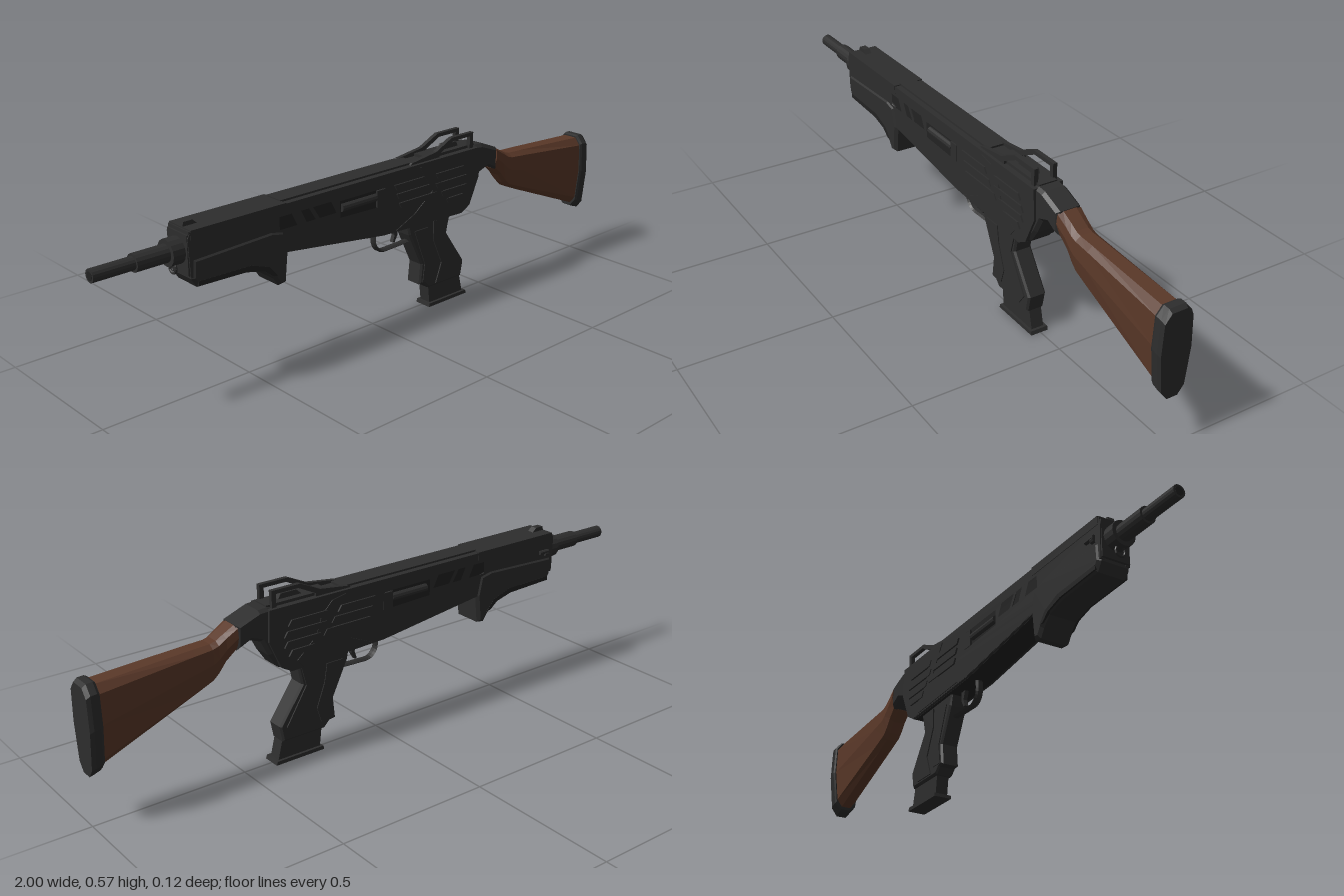
import * as THREE from 'three';

const metal = new THREE.MeshStandardMaterial({ color: 0x2d2d2d, flatShading: true });
metal.name = 'charcoal metal';
const dark = new THREE.MeshStandardMaterial({ color: 0x222222, flatShading: true });
dark.name = 'dark recess metal';
const wood = new THREE.MeshStandardMaterial({ color: 0x5a3828, flatShading: true });
wood.name = 'brown wood';

const vec = (pts) => pts.map(([x, y]) => new THREE.Vector2(x, y));

export function createModel() {
  const group = new THREE.Group();
  const add = (name, geometry, mat = metal, x = 0, y = 0, z = 0) => {
    const mesh = new THREE.Mesh(geometry, mat);
    mesh.name = name;
    mesh.position.set(x, y, z);
    group.add(mesh);
    return mesh;
  };

  // side outline extruded between z0 and z1, with optional chamfer and holes
  const slab = (name, pts, z0, z1, mat = metal, bevel = 0, holes = []) => {
    const shape = new THREE.Shape(vec(pts));
    shape.holes = holes.map((h) => new THREE.Path(vec(h)));
    const geometry = new THREE.ExtrudeGeometry(shape, {
      depth: z1 - z0 - 2 * bevel, bevelEnabled: bevel > 0, bevelThickness: bevel,
      bevelSize: bevel, bevelOffset: -bevel, bevelSegments: 1, curveSegments: 6,
    });
    return add(name, geometry, mat, 0, 0, z0 + bevel);
  };
  const centred = (name, pts, half, mat, bevel) => slab(name, pts, -half, half, mat, bevel);
  const bothSides = (name, pts, z0, z1, mat, bevel, holes) => {
    slab(name + 'Left', pts, z0, z1, mat, bevel, holes);
    slab(name + 'Right', pts, -z1, -z0, mat, bevel, holes);
  };
  const box = (name, x0, x1, y0, y1, z0, z1, mat) =>
    add(name, new THREE.BoxGeometry(x1 - x0, y1 - y0, z1 - z0), mat,
      (x0 + x1) / 2, (y0 + y1) / 2, (z0 + z1) / 2);
  const tube = (name, x0, x1, r, y, mat, z = 0, sides = 16) => {
    const g = new THREE.CylinderGeometry(r, r, x1 - x0, sides).rotateZ(Math.PI / 2);
    return add(name, g, mat, (x0 + x1) / 2, y, z);
  };

  // loft of faceted rings along x; station = [x, top, bottom, half width, lean]
  const half = [[0.5, 1], [0.92, 0.9], [1, 0.53], [0.76, 0.1], [0.36, 0]];
  const ring = [...half, ...half.map(([z, y]) => [-z, y]).reverse()];
  const loft = (name, stations, mat) => {
    const rings = stations.map(([x, top, bottom, w, lean = 0]) =>
      ring.map(([z, t]) => [x + lean * t, bottom + (top - bottom) * t, z * w]));
    const pos = [];
    const tri = (a, b, c) => pos.push(...a, ...b, ...c);
    const n = ring.length;
    for (let i = 0; i < rings.length - 1; i++) {
      for (let j = 0; j < n; j++) {
        const k = (j + 1) % n;
        tri(rings[i][j], rings[i][k], rings[i + 1][k]);
        tri(rings[i][j], rings[i + 1][k], rings[i + 1][j]);
      }
    }
    const first = rings[0], last = rings[rings.length - 1];
    for (let j = 1; j < n - 1; j++) {
      tri(first[0], first[j + 1], first[j]);
      tri(last[0], last[j], last[j + 1]);
    }
    const g = new THREE.BufferGeometry();
    g.setAttribute('position', new THREE.Float32BufferAttribute(pos, 3));
    g.computeVertexNormals();
    return add(name, g, mat);
  };

  // barrel
  tube('muzzle', -1, -0.86, 0.02, 0.457);
  tube('muzzleBore', -1.001, -0.999, 0.013, 0.457, dark);
  tube('barrelSleeve', -0.87, -0.76, 0.027, 0.457);
  tube('barrelCollar', -0.765, -0.71, 0.04, 0.457);
  const loop = add('slingLoop', new THREE.TorusGeometry(0.016, 0.004, 6, 12), metal, -0.745, 0.408, 0);
  loop.rotation.y = Math.PI / 2;

  // receiver: narrow core inside pierced side shells
  const receiver = [[-0.725, 0.5], [-0.715, 0.52], [0.42, 0.52], [0.425, 0.42],
    [0.385, 0.33], [0.35, 0.31], [0.0, 0.322], [-0.39, 0.372], [-0.72, 0.385]];
  const windows = [
    [[-0.41, 0.485], [-0.365, 0.485], [-0.345, 0.445], [-0.41, 0.445]],
    [[-0.33, 0.485], [-0.3, 0.485], [-0.275, 0.445], [-0.31, 0.445]],
    [[-0.285, 0.485], [-0.215, 0.485], [-0.195, 0.445], [-0.26, 0.445]],
    [[-0.18, 0.478], [0.0, 0.478], [0.0, 0.42], [-0.18, 0.425]],
  ];
  centred('receiverCore', receiver.map(([x, y]) => [x * 0.995, y - 0.002]), 0.041, dark, 0);
  bothSides('receiverShell', receiver, 0.037, 0.05, metal, 0, windows);
  box('topCover', -0.72, 0.42, 0.51, 0.52, -0.049, 0.049);
  box('topRib', -0.39, 0.15, 0.518, 0.526, -0.03, 0.03);
  centred('underside', [[-0.39, 0.4], [-0.39, 0.371], [0, 0.321], [0.35, 0.309], [0.35, 0.34]], 0.049);
  box('frontBlock', -0.726, -0.7, 0.39, 0.51, -0.047, 0.047);
  for (const z of [-0.041, 0.041]) tube('bolt', -0.17, -0.03, 0.013, 0.452, metal, z, 10);
  bothSides('portLip', [[-0.03, 0.475], [0.005, 0.475], [0.005, 0.42], [-0.03, 0.42]], 0.045, 0.052);

  // rear side panel and cooling slats
  bothSides('sidePanel', [[0.15, 0.51], [0.2, 0.5], [0.24, 0.46], [0.26, 0.4], [0.33, 0.34],
    [0.31, 0.315], [0.05, 0.325], [0.13, 0.36], [0.21, 0.42]], 0.045, 0.0525);
  [[0.04, 0.18, 0.468], [0.05, 0.205, 0.437], [0.06, 0.235, 0.405],
    [0.22, 0.36, 0.465], [0.22, 0.375, 0.432], [0.245, 0.375, 0.4], [0.27, 0.36, 0.37],
  ].forEach(([x0, x1, y]) => bothSides('slat',
    [[x0, y + 0.009], [x1 - 0.012, y + 0.009], [x1, y - 0.009], [x0 + 0.01, y - 0.009]], 0.045, 0.0555));

  // fore-end with hooked hand stop
  centred('foreEnd', [[-0.715, 0.44], [-0.44, 0.45], [-0.395, 0.44], [-0.38, 0.372], [-0.39, 0.278],
    [-0.418, 0.274], [-0.435, 0.3], [-0.465, 0.33], [-0.53, 0.347], [-0.7, 0.352], [-0.718, 0.38]],
  0.055, metal, 0.01);
  bothSides('foreEndGrip', [[-0.7, 0.372], [-0.52, 0.368], [-0.455, 0.345], [-0.425, 0.31],
    [-0.44, 0.312], [-0.47, 0.336], [-0.53, 0.352], [-0.7, 0.358]], 0.046, 0.0555, dark);
  box('upperForeEnd', -0.715, -0.385, 0.495, 0.523, -0.0515, 0.0515);

  // sights
  centred('frontSight', [[-0.715, 0.518], [-0.71, 0.536], [-0.68, 0.536], [-0.66, 0.518]], 0.011);
  centred('rearSight', [[0.27, 0.518], [0.3, 0.545], [0.355, 0.545], [0.37, 0.518]], 0.01);
  box('sightBase', 0.2, 0.42, 0.518, 0.529, -0.03, 0.03);
  bothSides('sightGuard', [[0.12, 0.518], [0.13, 0.526], [0.235, 0.54], [0.305, 0.573], [0.405, 0.573],
    [0.405, 0.518], [0.39, 0.518], [0.39, 0.561], [0.312, 0.561], [0.25, 0.53], [0.25, 0.518]], 0.025, 0.039);

  // small charging lever on the right side
  const lever = tube('chargingLever', -0.7, -0.66, 0.007, 0.462, metal, -0.053, 8);
  lever.rotation.x = 0.4;
  tube('leverPin', -0.7, -0.685, 0.01, 0.455, metal, -0.05, 8);

  // trigger and guard
  const guard = new THREE.CatmullRomCurve3([[0.0, 0.325], [0.002, 0.275], [0.025, 0.251],
    [0.075, 0.249], [0.15, 0.252]].map(([x, y]) => new THREE.Vector3(x, y, 0)));
  add('triggerGuard', new THREE.TubeGeometry(guard, 20, 0.006, 6).scale(1, 1, 2.2));
  centred('trigger', [[0.075, 0.32], [0.1, 0.32], [0.098, 0.285], [0.085, 0.262],
    [0.078, 0.264], [0.086, 0.288]], 0.007);

  // pistol grip and magazine
  centred('grip', [[0.12, 0.325], [0.13, 0.28], [0.185, 0.165], [0.178, 0.095], [0.2, 0.092], [0.22, 0.072],
    [0.375, 0.072], [0.385, 0.125], [0.302, 0.245], [0.318, 0.325]], 0.031, metal, 0.006);
  bothSides('gripPanel', [[0.235, 0.305], [0.305, 0.305], [0.288, 0.24], [0.362, 0.12],
    [0.335, 0.082], [0.25, 0.082], [0.275, 0.15], [0.235, 0.24]], 0.028, 0.035);
  bothSides('gripFrontPanel', [[0.15, 0.29], [0.21, 0.29], [0.22, 0.23], [0.25, 0.15],
    [0.235, 0.1], [0.19, 0.1], [0.198, 0.165]], 0.028, 0.034);
  centred('magazine', [[0.225, 0.09], [0.235, 0.008], [0.39, 0.008], [0.37, 0.09]], 0.021);
  centred('magazineBase', [[0.225, 0], [0.227, 0.012], [0.398, 0.012], [0.402, 0]], 0.03);

  // neck behind the receiver
  centred('neck', [[0.38, 0.515], [0.42, 0.525], [0.45, 0.523], [0.525, 0.495], [0.525, 0.418],
    [0.48, 0.438], [0.445, 0.425], [0.42, 0.375], [0.39, 0.33], [0.36, 0.315]], 0.042, metal, 0.01);

  // wooden stock and butt plate
  loft('stock', [[0.522, 0.495, 0.418, 0.043], [0.56, 0.474, 0.385, 0.04], [0.585, 0.46, 0.352, 0.04],
    [0.605, 0.455, 0.333, 0.04], [0.66, 0.453, 0.31, 0.041], [0.965, 0.437, 0.188, 0.047]], wood);
  loft('buttPlate', [[0.96, 0.442, 0.18, 0.05], [0.968, 0.446, 0.175, 0.054],
    [0.988, 0.445, 0.168, 0.054], [1, 0.436, 0.164, 0.05]], metal);

  group.position.z = 0.003;
  return group;
}
